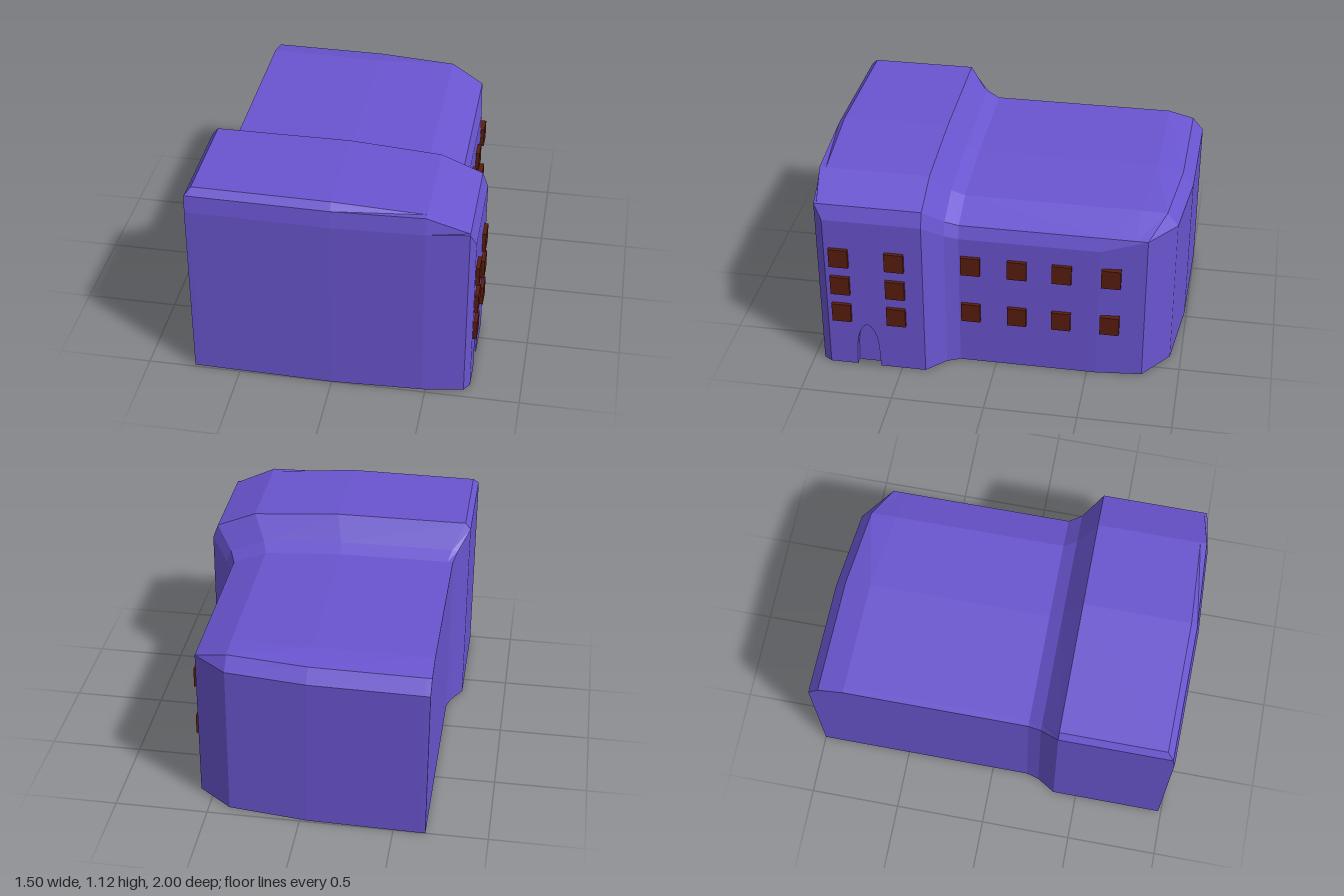
import * as THREE from 'three';

export function createModel() {
  const model = new THREE.Group();
  const wallMat = new THREE.MeshStandardMaterial({ color: 0x6a55d0, flatShading: true });
  const windowMat = new THREE.MeshStandardMaterial({ color: 0x5a1d0f, flatShading: true });

  // Roof columns, left to right: x, roof height, and z of the end wall
  const tall = {
    x: [-0.75, -0.72, 0, 0.48, 0.7, 0.73],
    y: [1.09, 1.125, 1.125, 1.09, 1.0, 0.92],
    end: [0.985, 0.987, 1.0, 0.98, 0.945, 0.9],
  };
  const low = {
    x: [-0.67, -0.64, -0.04, 0.39, 0.575, 0.6],
    y: [0.965, 0.965, 0.962, 0.935, 0.86, 0.79],
    end: [-1, -1, -0.99, -0.94, -0.8, -0.55],
  };
  const N = 6;
  const endRing = (w, offset, cap) => w.x.map((x, i) => [x, Math.min(w.y[i], cap), w.end[i] + offset]);
  const midRing = (z, t) => tall.x.map((x, i) => [
    THREE.MathUtils.lerp(x, low.x[i], t), THREE.MathUtils.lerp(tall.y[i], low.y[i], t), z]);

  // Sections from the front wall to the back wall
  const rings = [
    endRing(tall, 0, 1.0), endRing(tall, -0.015, 1.09), endRing(tall, -0.05, 2),
    midRing(0.37, 0), midRing(0.27, 0.76), midRing(0.2, 1),
    endRing(low, 0.2, 2), endRing(low, 0.06, 0.93), endRing(low, 0, 0.86),
  ];
  const DOOR_WALL = 2; // this stretch of the right wall holds the doorway

  const pos = [];
  const quad = (a, b, c, d) => pos.push(...a, ...b, ...c, ...a, ...c, ...d);
  const top = (s, i) => rings[s][i];
  const base = (s, i) => [rings[s][i][0], 0, rings[s][i][2]];
  const last = rings.length - 1;
  for (let s = 0; s < last; s++) {
    for (let i = 0; i < N - 1; i++) {
      quad(top(s, i), top(s, i + 1), top(s + 1, i + 1), top(s + 1, i));
      quad(base(s, i), base(s + 1, i), base(s + 1, i + 1), base(s, i + 1));
    }
    quad(base(s + 1, 0), base(s, 0), top(s, 0), top(s + 1, 0));
    if (s !== DOOR_WALL) quad(base(s, N - 1), base(s + 1, N - 1), top(s + 1, N - 1), top(s, N - 1));
  }
  for (let i = 0; i < N - 1; i++) {
    quad(base(0, i), base(0, i + 1), top(0, i + 1), top(0, i));
    quad(base(last, i + 1), base(last, i), top(last, i), top(last, i + 1));
  }
  const shell = new THREE.BufferGeometry();
  shell.setAttribute('position', new THREE.Float32BufferAttribute(pos, 3));
  shell.computeVertexNormals();
  const add = (name, geo, mat, parent = model) => {
    const mesh = new THREE.Mesh(geo, mat);
    mesh.name = name;
    parent.add(mesh);
    return mesh;
  };
  add('buildingShell', shell, wallMat);

  // Right wall panel with an arched doorway (shape x is -z)
  const panel = new THREE.Shape();
  panel.moveTo(-0.85, 0);
  panel.lineTo(-0.75, 0);
  panel.lineTo(-0.745, 0.13);
  panel.bezierCurveTo(-0.74, 0.22, -0.71, 0.26, -0.685, 0.27);
  panel.bezierCurveTo(-0.66, 0.26, -0.63, 0.22, -0.625, 0.13);
  panel.lineTo(-0.62, 0);
  panel.lineTo(-0.37, 0);
  panel.lineTo(-0.37, 0.92);
  panel.lineTo(-0.85, 0.92);
  const depth = 0.04;
  const panelGeo = new THREE.ExtrudeGeometry(panel, { depth, bevelEnabled: false, curveSegments: 4 });
  panelGeo.rotateY(Math.PI / 2).translate(0.73 - depth, 0, 0);
  add('doorWall', panelGeo, wallMat);
  const doorGeo = new THREE.PlaneGeometry(0.15, 0.29);
  doorGeo.rotateY(Math.PI / 2).translate(0.73 - depth + 0.001, 0.145, 0.685);
  add('door', doorGeo, wallMat);

  // Window grids on the right wall
  const windows = new THREE.Group();
  windows.name = 'windows';
  model.add(windows);
  const windowGrid = (outerX, zs, ys) => {
    for (const z of zs) for (const y of ys) {
      add('window', new THREE.BoxGeometry(0.04, 0.11, 0.104), windowMat, windows)
        .position.set(outerX - 0.02, y, z);
    }
  };
  windowGrid(0.75, [0.82, 0.52], [0.345, 0.52, 0.695]);
  windowGrid(0.62, [0.136, -0.115, -0.355, -0.617], [0.33, 0.63]);

  return model;
}
